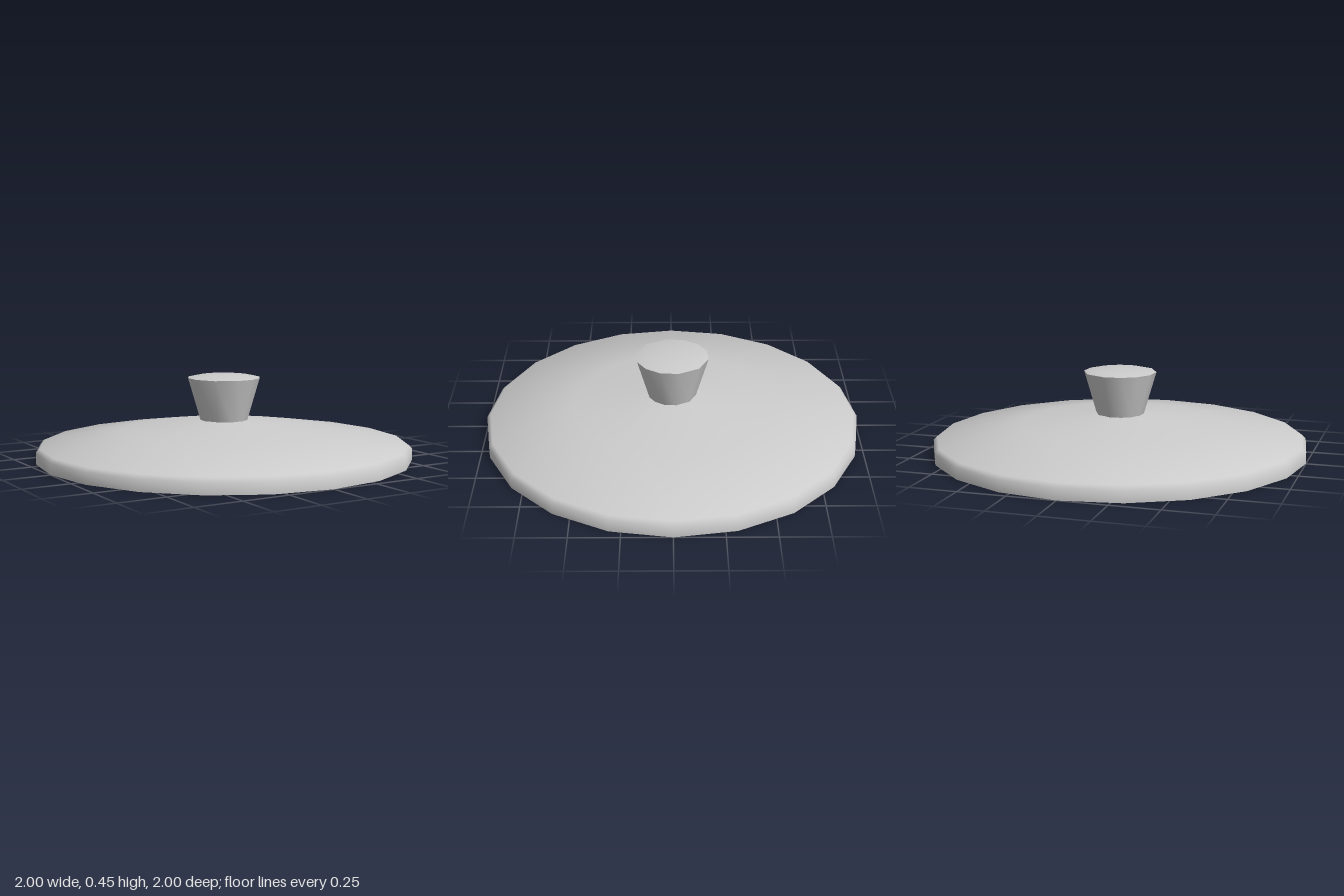
import * as THREE from 'three';
import { toCreasedNormals } from 'three/addons/utils/BufferGeometryUtils.js';

const material = new THREE.MeshStandardMaterial({ color: 0xcccccc });

const lathe = (profile, sides) =>
  new THREE.LatheGeometry(profile.map(([r, y]) => new THREE.Vector2(r, y)), sides);

const addPart = (group, name, geometry) => {
  const mesh = new THREE.Mesh(toCreasedNormals(geometry, 0.9), material);
  mesh.name = name;
  group.add(mesh);
};

export function createModel() {
  const group = new THREE.Group();
  group.name = 'lid';

  // Hollow shallow cover: inner cone, flat rim, outer wall, bevel, gently domed top
  addPart(group, 'cover', lathe([
    [0, 0.17], [0.5, 0.115], [0.95, 0.05], [0.95, 0],
    [1, 0], [1, 0.06], [0.98, 0.08],
    [0.53, 0.151], [0.12, 0.206], [0, 0.21],
  ], 20));

  // Flared knob with a slightly domed cap
  const knobProfile = [[0, 0.195], [0.125, 0.195], [0.194, 0.43], [0.14, 0.441], [0, 0.447]];
  const knob = lathe(knobProfile, 12);

  // The twelve knob sides are unevenly spaced round the axis
  const angles = [45, 71, 99, 135, 171, 199, 225, 251, 279, 315, 351, 379];
  const position = knob.attributes.position;
  for (let i = 0; i < position.count; i++) {
    const [r, y] = knobProfile[i % knobProfile.length];
    const side = Math.floor(i / knobProfile.length) % angles.length;
    const a = THREE.MathUtils.degToRad(angles[side]);
    position.setXYZ(i, r * Math.sin(a), y, r * Math.cos(a));
  }
  addPart(group, 'knob', knob);

  return group;
}
